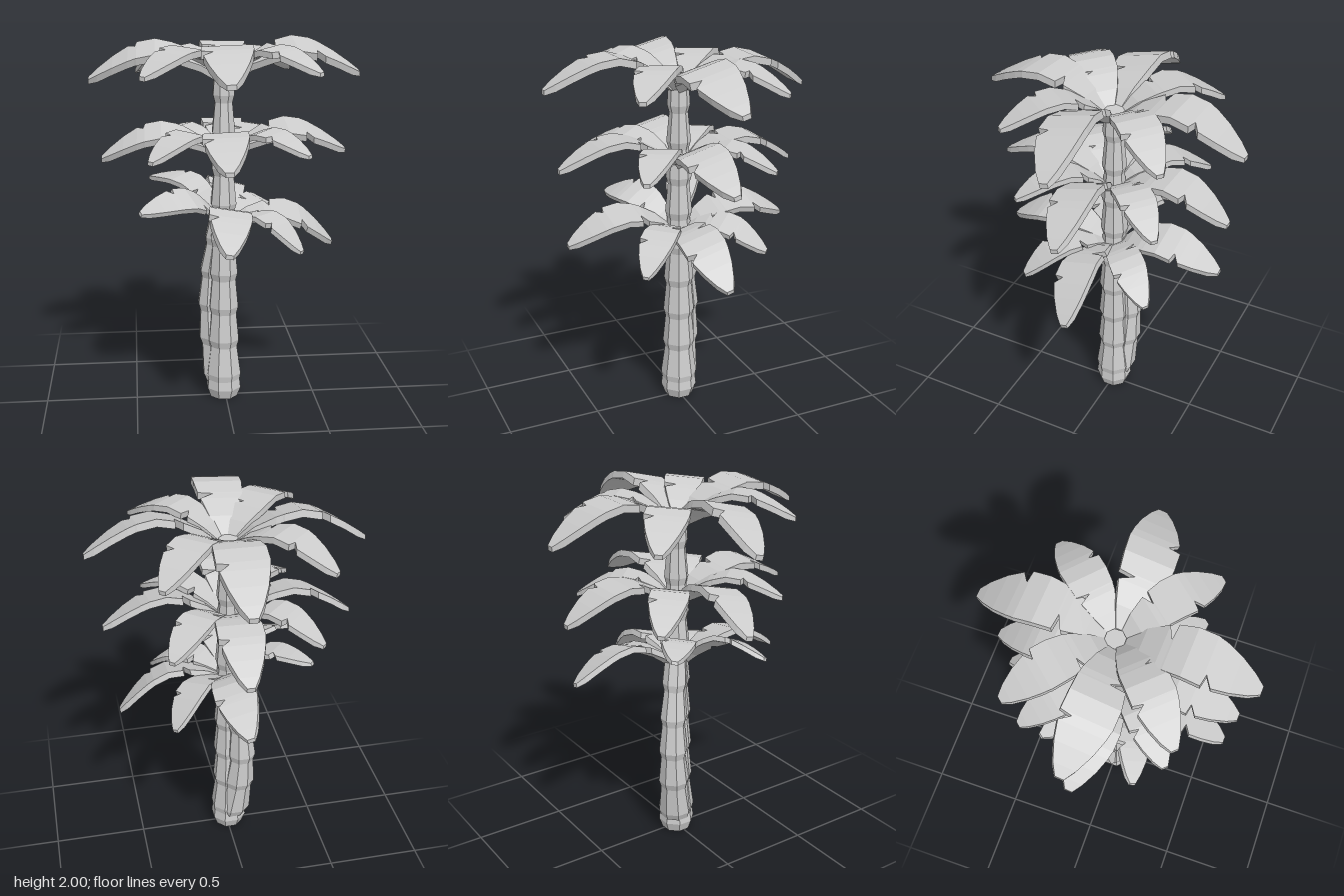
import * as THREE from 'three';

const grey = new THREE.MeshStandardMaterial({ color: 0xcccccc });
grey.name = 'grey';

// Split faces so every facet keeps its own normal
function faceted(geometry) {
  const g = geometry.toNonIndexed();
  g.computeVertexNormals();
  return g;
}

// Leaf stations: distance out, height, left width, right width, with a notch on each side
const STATIONS = [
  [0.045, 0.02, 0.025, 0.025],
  [0.13, 0.09, 0.07, 0.07],
  [0.23, 0.14, 0.104, 0.108],
  [0.262, 0.15, 0.035, 0.114],
  [0.27, 0.153, 0.114, 0.117],
  [0.36, 0.172, 0.125, 0.125],
  [0.455, 0.155, 0.125, 0.128],
  [0.465, 0.151, 0.122, 0.068],
  [0.5, 0.137, 0.116, 0.118],
  [0.58, 0.095, 0.092, 0.095],
  [0.66, 0.045, 0.055, 0.058],
  [0.71, 0.01, 0.022, 0.022],
];

function leafGeometry() {
  const pos = [], index = [];
  STATIONS.forEach(([r, y, left, right], i) => {
    const t = i === STATIONS.length - 1 ? 0.025 : 0.038;
    pos.push(r, y, -left, r, y, right, r, y - t, right, r, y - t, -left);
    if (i === 0) return;
    const p = (i - 1) * 4, q = i * 4;
    for (let j = 0; j < 4; j++) {
      const k = (j + 1) % 4;
      index.push(p + j, p + k, q + k, p + j, q + k, q + j);
    }
  });
  const e = (STATIONS.length - 1) * 4;
  index.push(0, 2, 1, 0, 3, 2, e, e + 1, e + 2, e, e + 2, e + 3);
  const g = new THREE.BufferGeometry();
  g.setAttribute('position', new THREE.Float32BufferAttribute(pos, 3));
  g.setIndex(index);
  return faceted(g);
}

// Ringed eight-sided trunk, bent sideways by a rule of height
function trunk(name, profile, bend) {
  const g = new THREE.LatheGeometry(profile.map(([r, y]) => new THREE.Vector2(r, y)), 8);
  g.rotateY(Math.PI / 8);
  const p = g.attributes.position;
  for (let i = 0; i < p.count; i++) {
    const [dx, dz] = bend(p.getY(i));
    p.setX(i, p.getX(i) + dx);
    p.setZ(i, p.getZ(i) + dz);
  }
  const mesh = new THREE.Mesh(faceted(g), grey);
  mesh.name = name;
  return mesh;
}

// Each growth ring flares out sharply, then narrows up to the next one
function ringedProfile(foot, top, rFoot, rTop) {
  const radius = (y) => rFoot + (rTop - rFoot) * (y / top);
  const pts = [...foot];
  for (let y = 0.3; y < top - 0.08; y += 0.195) {
    pts.push([radius(y) - 0.006, y], [radius(y) + 0.005, y + 0.04]);
  }
  pts.push([rTop, top], [0, top]);
  return pts;
}

// Leaf layouts: compass angle in degrees, scale, roll, pitch
const FULL = [
  [-1, 1, 0.3, 0], [41, 0.82, 0.1, 0.04], [93, 1, 0.02, 0], [136, 0.86, -0.1, 0.05],
  [182, 1, -0.3, 0], [222, 0.86, -0.08, 0.03], [272, 1, 0.03, 0], [312, 0.82, 0.08, 0.02],
];
const LOWER = [
  [-1, 1, 0.26, 0], [42, 0.84, 0.1, 0.02], [92, 1, 0.06, 0], [153, 0.84, -0.3, 0.04],
  [217, 0.82, -0.22, 0.2], [272, 1, 0.05, 0], [316, 0.82, 0.08, 0],
];

export function createModel() {
  const model = new THREE.Group();
  model.name = 'palmTree';

  // Trunks: a tall one and a shorter one bowing out behind it
  const mainFoot = [[0, 0], [0.08, 0], [0.1, 0.055], [0.094, 0.105], [0.1, 0.14]];
  model.add(trunk('mainTrunk', ringedProfile(mainFoot, 1.83, 0.09, 0.052),
    () => [-0.01, -0.004]));
  const sideFoot = [[0, 0.09], [0.08, 0.09], [0.092, 0.13]];
  model.add(trunk('sideTrunk', ringedProfile(sideFoot, 1.07, 0.088, 0.058), (y) => {
    const bow = Math.sin(Math.PI * Math.min(1, y / 1.1));
    return [-0.016 - 0.056 * bow, -0.008 - 0.058 * bow];
  }));

  // Leaf crowns, each leaning a little
  const leafGeo = leafGeometry();
  function crown(name, layout, x, y, scale, leanX, leanZ) {
    const group = new THREE.Group();
    group.name = name;
    for (const [angle, size, roll, pitch] of layout) {
      const leaf = new THREE.Mesh(leafGeo, grey);
      leaf.name = 'leaf';
      leaf.rotation.set(roll, -THREE.MathUtils.degToRad(angle), pitch, 'YXZ');
      leaf.scale.setScalar(size);
      group.add(leaf);
    }
    group.position.set(x, y, 0);
    group.scale.setScalar(scale);
    group.rotation.set(leanX, 0, leanZ);
    model.add(group);
  }
  crown('topCrown', FULL, 0, 1.8, 1, -0.05, 0.018);
  crown('middleCrown', FULL, -0.005, 1.388, 0.915, -0.05, 0.024);
  crown('lowerCrown', LOWER, -0.015, 1.022, 0.87, 0.03, -0.22);

  return model;
}
